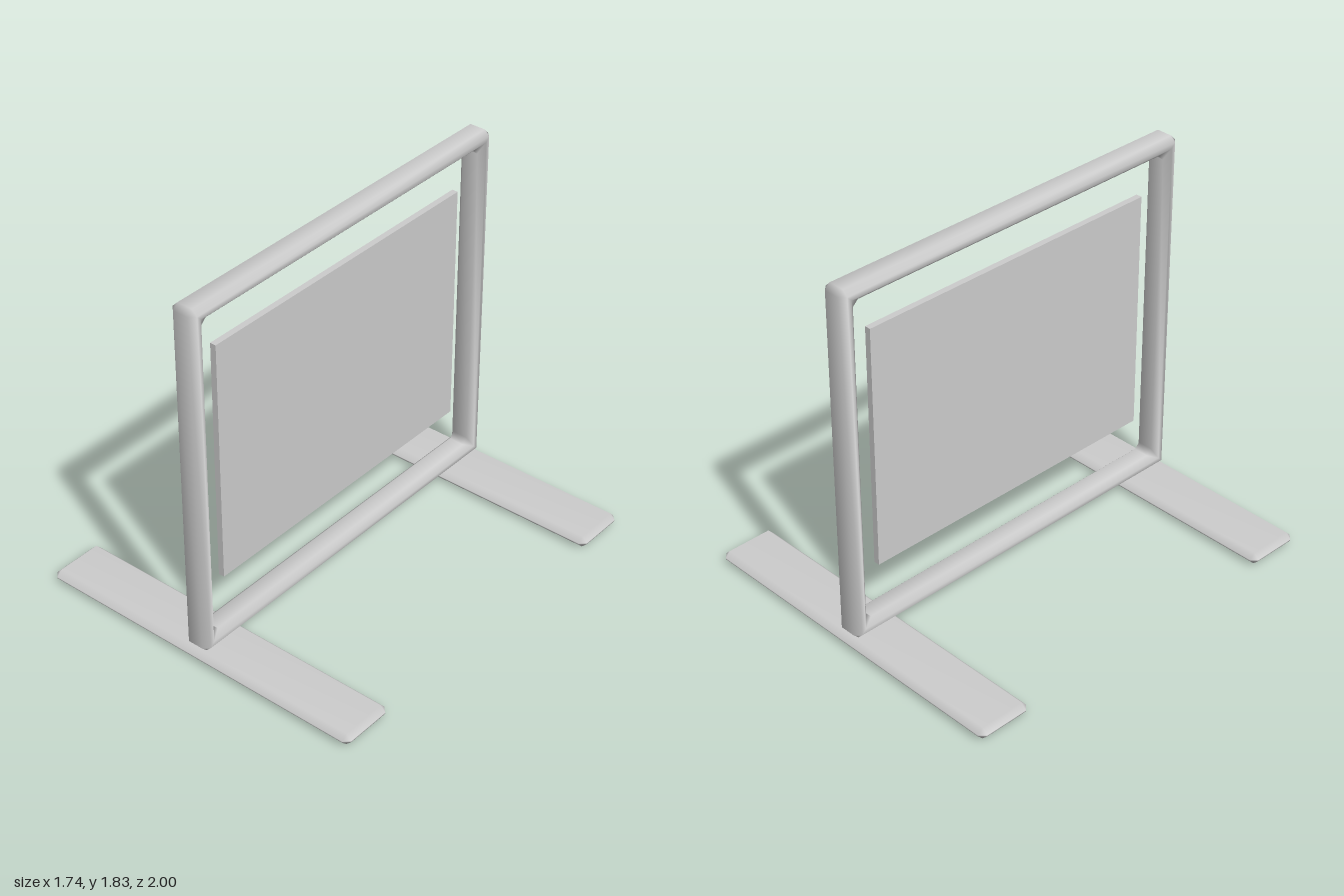
import * as THREE from 'three';
import { mergeVertices } from 'three/addons/utils/BufferGeometryUtils.js';

const BEVEL = 0.027;

// Rectangle with half sizes a, b, corners cut by c, at height h (counter-clockwise)
function ring(a, b, c, h) {
  return [
    [a, -b + c, h], [a, b - c, h], [a - c, b, h], [-a + c, b, h],
    [-a, b - c, h], [-a, -b + c, h], [-a + c, -b, h], [a - c, -b, h],
  ];
}

// Skin a list of rings; either closed into a tube or capped at both ends
function loft(rings, closed) {
  const n = 8, index = [];
  const count = closed ? rings.length : rings.length - 1;
  for (let r = 0; r < count; r++) {
    const q = ((r + 1) % rings.length) * n, p = r * n;
    for (let i = 0; i < n; i++) {
      const j = (i + 1) % n;
      index.push(p + i, p + j, q + j, p + i, q + j, q + i);
    }
  }
  if (!closed) {
    const top = (rings.length - 1) * n;
    for (let i = 1; i < n - 1; i++) {
      index.push(0, i + 1, i, top, top + i, top + i + 1);
    }
  }
  const geometry = new THREE.BufferGeometry();
  geometry.setAttribute('position', new THREE.Float32BufferAttribute(rings.flat(2), 3));
  geometry.setIndex(index);
  const merged = mergeVertices(geometry, 1e-5);
  merged.computeVertexNormals();
  return merged;
}

// Upright rectangular frame with softly bevelled edges
function frameGeometry(a, b, w, t) {
  const e = BEVEL;
  const outer = (h) => ring(a, b, e, h);
  const outerSide = (h) => ring(a - e, b - e, 0, h);
  const innerSide = (h) => ring(a - t + e, b - t + e, 0, h);
  const inner = (h) => ring(a - t, b - t, e, h);
  return loft([
    outer(-w + e), outer(w - e), outerSide(w), innerSide(w),
    inner(w - e), inner(-w + e), innerSide(-w), outerSide(-w),
  ], true).rotateY(Math.PI / 2);
}

// Flat bevelled bar lying on the ground
function footGeometry(a, b, height) {
  const e = BEVEL;
  return loft([
    ring(a - e, b - e, 0, 0), ring(a, b, e, e),
    ring(a, b, e, height - e), ring(a - e, b - e, 0, height),
  ], false).rotateX(-Math.PI / 2);
}

export function createModel() {
  const model = new THREE.Group();
  model.name = 'signStand';
  const grey = new THREE.MeshStandardMaterial({ color: 0xcccccc });
  grey.name = 'light grey';

  const add = (name, geometry, x, y, z) => {
    const mesh = new THREE.Mesh(geometry, grey);
    mesh.name = name;
    mesh.position.set(x, y, z);
    model.add(mesh);
  };

  add('frame', frameGeometry(0.985, 0.885, 0.066, 0.076), 0, 0.945, 0);
  add('panel', new THREE.BoxGeometry(0.03, 1.205, 1.61), 0, 0.967, 0);

  const foot = footGeometry(0.87, 0.14, 0.06);
  add('frontFoot', foot, 0, 0, 0.86);
  add('backFoot', foot, 0, 0, -0.86);

  return model;
}
